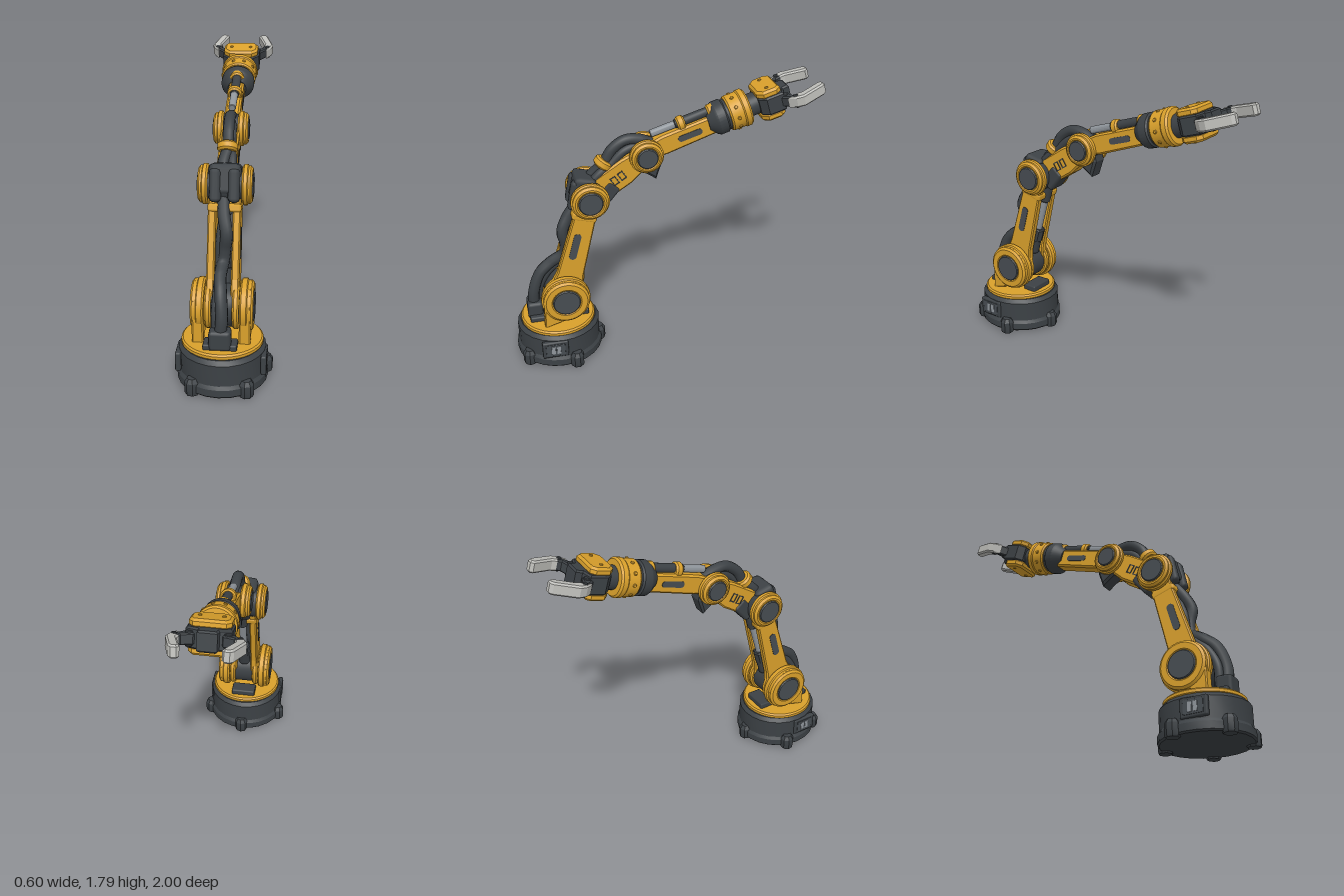
import * as THREE from 'three';
import { toCreasedNormals } from 'three/addons/utils/BufferGeometryUtils.js';
import { RoundedBoxGeometry } from 'three/addons/geometries/RoundedBoxGeometry.js';

const material = (name, color) => Object.assign(new THREE.MeshStandardMaterial({ color }), { name });

export function createModel() {
  const yellow = material('yellow paint', 0xd9a02b);
  const dark = material('dark casing', 0x3c4145);
  const cap = material('cap grey', 0x464c51);
  const steel = material('steel', 0x8f959b);
  const pale = material('pale grip', 0xbcbcb8);
  const root = new THREE.Group();
  root.name = 'roboticArm';

  const add = (parent, name, geo, mat, x = 0, y = 0, z = 0) => {
    const m = new THREE.Mesh(geo, mat);
    m.name = name;
    m.position.set(x, y, z);
    parent.add(m);
    return m;
  };
  const box = (w, h, d, r = 0.01) => new RoundedBoxGeometry(w, h, d, 1, r);
  const lathe = (pts, seg = 32) => toCreasedNormals(
    new THREE.LatheGeometry(pts.map(p => new THREE.Vector2(p[0], p[1])), seg), 0.5);
  // Chamfered cylinder along y
  const drum = (r, y0, y1, c = 0.01, seg = 32) =>
    lathe([[0, y0], [r - c, y0], [r, y0 + c], [r, y1 - c], [r - c, y1], [0, y1]], seg);
  // Chamfered extrusion of a shape, from d0 to d1 along z
  const slab = (shape, d0, d1, b = 0.008) => {
    const g = new THREE.ExtrudeGeometry(shape, {
      depth: d1 - d0 - 2 * b, bevelEnabled: b > 0, bevelThickness: b, bevelSize: b,
      bevelOffset: -b, bevelSegments: 1, curveSegments: 16 });
    return g.translate(0, 0, d0 + b);
  };
  // Side plate: shape drawn as (-z, y), thickness from x0 to x1
  const plate = (shape, x0, x1, b) => slab(shape, x0, x1, b).rotateY(Math.PI / 2);
  const poly = pts => new THREE.Shape(pts.map(p => new THREE.Vector2(p[0], p[1])));
  const slot = (u, v0, v1, r) => {
    const s = new THREE.Shape();
    s.absarc(u, v1, r, 0, Math.PI);
    s.absarc(u, v0, r, Math.PI, Math.PI * 2);
    return s;
  };
  const both = fn => [-1, 1].forEach(fn);
  // Group whose y axis runs from one [y, z] point towards another
  const limb = (name, from, to) => {
    const g = new THREE.Group();
    g.name = name;
    g.position.set(0, from[0], from[1]);
    g.rotation.x = Math.atan2(to[1] - from[1], to[0] - from[0]);
    root.add(g);
    return g;
  };
  const tube = (name, pts, r) => add(root, name, new THREE.TubeGeometry(
    new THREE.CatmullRomCurve3(pts.map(p => new THREE.Vector3(...p))), 40, r, 10), dark);

  const shoulder = [0.452, 0.66], elbow = [1.14, 0.47], upper = [1.38, 0.10], wrist = [1.602, -0.49];

  // Base with feet, ring and side windows
  const base = new THREE.Group();
  base.name = 'base';
  base.position.z = 0.707;
  root.add(base);
  const body = add(base, 'baseBody', lathe([[0, 0.01], [0.275, 0.01], [0.285, 0.02], [0.285, 0.065],
    [0.272, 0.085], [0.272, 0.215], [0.25, 0.24], [0, 0.24]], 24), dark);
  body.scale.x = 0.96;
  add(base, 'turntable', drum(0.245, 0.235, 0.272, 0.01, 40), yellow);
  for (let i = 0; i < 5; i++) {
    const a = (i + 0.5) * Math.PI * 2 / 5;
    const foot = add(base, 'foot', lathe([[0, 0], [0.04, 0], [0.046, 0.012], [0.046, 0.08],
      [0.03, 0.105], [0, 0.105]], 8), dark, Math.sin(a) * 0.268, 0, Math.cos(a) * 0.268);
    foot.rotation.y = a;
  }
  both(s => {
    add(base, 'windowFrame', box(0.035, 0.12, 0.17), dark, s * 0.252, 0.152, 0.055);
    add(base, 'windowRecess', box(0.006, 0.085, 0.125, 0.002), cap, s * 0.269, 0.152, 0.055);
    for (const z of [0.035, 0.07]) add(base, 'windowBar', box(0.006, 0.06, 0.026, 0.002), steel, s * 0.272, 0.152, z);
  });
  add(base, 'cableSocket', box(0.13, 0.12, 0.1, 0.02), dark, 0, 0.33, 0.15);
  add(base, 'socketFoot', box(0.2, 0.04, 0.1), dark, 0, 0.285, 0.14);
  add(base, 'rearBlock', box(0.17, 0.045, 0.1), dark, 0, 0.287, -0.15);

  // Rotary joint made of a dark core with a yellow housing and cap on each side
  const joint = (name, [y, z], core, coreX, r, x0, x1, capR) => {
    const g = new THREE.Group();
    g.name = name;
    g.position.set(0, y, z);
    root.add(g);
    add(g, 'core', drum(core, -coreX, coreX).rotateZ(Math.PI / 2), dark);
    both(s => {
      const t = -s * Math.PI / 2, m = (x0 + x1) / 2;
      add(g, 'housing', lathe([[0, x0], [r - 0.012, x0], [r, x0 + 0.01], [r, m], [r - 0.01, m + 0.006],
        [r - 0.01, x1 - 0.012], [r - 0.025, x1], [capR + 0.008, x1], [capR, x1 - 0.008], [0, x1 - 0.008]])
        .rotateZ(t), yellow);
      add(g, 'cap', drum(capR, x1 - 0.01, x1 + 0.005, 0.006).rotateZ(t), cap);
    });
    return g;
  };
  joint('shoulderJoint', shoulder, 0.125, 0.11, 0.16, 0.105, 0.184, 0.09);
  const elbowJoint = joint('elbowJoint', elbow, 0.105, 0.115, 0.122, 0.1, 0.16, 0.077);
  const upperJoint = joint('upperJoint', upper, 0.09, 0.06, 0.108, 0.045, 0.107, 0.066);

  // Shoulder brackets standing on the turntable
  const bracket = new THREE.Shape();
  bracket.moveTo(-0.58, 0.26);
  bracket.absarc(-shoulder[1], shoulder[0], 0.15, -0.9, 2.9);
  bracket.lineTo(-0.81, 0.26);
  both(s => add(root, 'shoulderBracket', plate(bracket, -0.034, 0.034), yellow, s * 0.138));

  // Lower arm: twin plates with slots
  const lower = limb('lowerArm', shoulder, elbow);
  const armShape = poly([[-0.09, -0.08], [0.09, -0.08], [0.115, 0.03], [0.088, 0.16], [0.072, 0.6], [0.08, 0.7],
    [0.05, 0.76], [-0.05, 0.76], [-0.075, 0.7], [-0.068, 0.6], [-0.085, 0.16], [-0.115, 0.03]]);
  both(s => {
    add(lower, 'armPlate', plate(armShape, -0.024, 0.024), yellow, s * 0.073);
    add(lower, 'armSlot', plate(slot(-0.015, 0.3, 0.44, 0.024), -0.003, 0.003, 0), cap, s * 0.097);
    add(lower, 'shoulderCollar', drum(0.145, -0.02, 0.02).rotateZ(Math.PI / 2), yellow, s * 0.082);
  });
  add(lower, 'elbowCollar', box(0.2, 0.05, 0.16, 0.015), yellow, 0, 0.58, 0);

  // Rear piston
  const piston = limb('rearPiston', [0.54, 0.58], [1.08, 0.42]);
  add(piston, 'pistonRod', drum(0.025, 0.1, 0.5, 0.004, 16), steel);
  add(piston, 'pistonSleeve', drum(0.04, 0, 0.17, 0.008, 16), dark);
  add(piston, 'pistonCollar', drum(0.046, 0.1, 0.2, 0.008, 8), dark);
  add(piston, 'pistonHead', drum(0.036, 0.42, 0.56, 0.008, 16), dark);

  // Elbow casing
  add(elbowJoint, 'elbowFrontCasing', box(0.19, 0.18, 0.14, 0.03), dark, 0, 0.045, 0.03).rotation.x = -0.25;
  both(s => add(elbowJoint, 'elbowLobe', box(0.07, 0.2, 0.09, 0.025), dark, s * 0.055, 0.02, 0.075).rotation.x = -0.2);
  add(elbowJoint, 'elbowRearCasing', box(0.13, 0.16, 0.1, 0.02), dark, 0, 0.0, -0.12).rotation.x = -0.7;

  // Middle arm: solid box with small panels
  const middle = limb('middleArm', elbow, upper);
  add(middle, 'middleBody', plate(poly([[0.1, 0.06], [0.1, 0.27], [0.07, 0.42], [-0.06, 0.42],
    [-0.075, 0.3], [-0.075, 0.06]]), -0.058, 0.058, 0.012), yellow);
  const frame = (u, v, w, h) => {
    const s = poly([[u - w, v - h], [u + w, v - h], [u + w, v + h], [u - w, v + h]]);
    const k = 0.007;
    s.holes.push(poly([[u - w + k, v - h + k], [u - w + k, v + h - k], [u + w - k, v + h - k], [u + w - k, v - h + k]]));
    return s;
  };
  both(s => [0.19, 0.245].forEach(v =>
    add(middle, 'panelOutline', plate(frame(0.015, v, 0.03, 0.02), -0.002, 0.002, 0), dark, s * 0.059)));
  add(upperJoint, 'lowerGuard', plate(poly([[-0.06, -0.05], [0.09, -0.03], [0.1, -0.07], [0.065, -0.175],
    [0.04, -0.155], [-0.03, -0.11]]), -0.055, 0.055, 0.015), dark);

  // Forearm, wrist and hand share one axis with its origin at the wrist
  const fore = limb('forearm', wrist, [wrist[0] + 0.31, wrist[1] - 1]);
  add(fore, 'forearmBody', plate(poly([[-0.045, -0.12], [-0.04, -0.5], [-0.02, -0.62], [0.08, -0.62],
    [0.09, -0.5], [0.075, -0.12]]), -0.048, 0.048, 0.012), yellow);
  both(s => {
    add(fore, 'forearmSlot', plate(slot(0.02, -0.39, -0.27, 0.02), -0.003, 0.003, 0), cap, s * 0.048);
    add(fore, 'forearmPanel', plate(frame(0.01, -0.175, 0.022, 0.022), -0.002, 0.002, 0), dark, s * 0.049);
  });
  // Top actuator with straps
  add(fore, 'actuatorRod', drum(0.024, -0.56, -0.38, 0.004, 16), steel, 0, 0, 0.066);
  add(fore, 'actuatorBody', drum(0.029, -0.4, -0.12, 0.006, 16), dark, 0, 0, 0.066);
  [-0.36, -0.16].forEach(y => add(fore, 'actuatorStrap', drum(0.048, y - 0.025, y + 0.025, 0.01, 16), yellow, 0, 0, 0.058));
  // Wrist rings with bolts
  add(fore, 'wristSeal', lathe([[0, -0.2], [0.06, -0.2], [0.1, -0.155], [0.108, -0.14], [0.108, -0.09],
    [0.098, -0.08], [0.098, -0.05], [0, -0.05]]), dark);
  add(fore, 'wristRing', lathe([[0, -0.065], [0.105, -0.065], [0.113, -0.055], [0.113, 0.02], [0.119, 0.028],
    [0.119, 0.058], [0.108, 0.07], [0.07, 0.07], [0.06, 0.06], [0, 0.06]]), yellow);
  for (let i = 0; i < 10; i++) {
    const a = (i + 0.5) * Math.PI / 5;
    const bolt = add(fore, 'wristBolt', drum(0.012, 0, 0.012, 0.003, 6).rotateX(Math.PI / 2), yellow,
      Math.sin(a) * 0.108, -0.018, Math.cos(a) * 0.108);
    bolt.rotation.y = a;
  }
  add(fore, 'wristNeck', drum(0.072, 0.05, 0.15, 0.01), dark);

  // Hand
  add(fore, 'handCore', slab(poly([[-0.085, 0.13], [0.085, 0.13], [0.125, 0.17], [0.125, 0.28], [0.06, 0.3],
    [0.055, 0.34], [-0.055, 0.34], [-0.06, 0.3], [-0.125, 0.28], [-0.125, 0.17]]), -0.06, 0.06, 0.01), dark);
  const shell = poly([[-0.075, 0.125], [0.075, 0.125], [0.115, 0.16], [0.115, 0.245], [0.09, 0.275],
    [-0.09, 0.275], [-0.115, 0.245], [-0.115, 0.16]]);
  both(s => {
    add(fore, 'handShell', slab(shell, -0.026, 0.026, 0.014), yellow, 0, 0, s * 0.076);
    both(t => add(fore, 'handBolt', drum(0.011, -0.005, 0.005, 0.003, 6).rotateX(Math.PI / 2), yellow,
      t * 0.065, 0.2, s * 0.104));
  });
  // Gripper: knuckles and bent fingers
  both(s => {
    const flip = pts => poly(pts.map(([x, y]) => [s * x, y]));
    add(fore, 'knuckle', slab(flip([[0.06, 0.26], [0.12, 0.255], [0.19, 0.33], [0.185, 0.38], [0.15, 0.38],
      [0.14, 0.33], [0.08, 0.31]]), -0.034, 0.034), dark);
    add(fore, 'knucklePin', drum(0.022, -0.042, 0.042, 0.004, 12).rotateX(Math.PI / 2), dark, s * 0.105, 0.29, 0);
    add(fore, 'finger', slab(flip([[0.165, 0.285], [0.2, 0.33], [0.213, 0.375], [0.168, 0.515], [0.15, 0.532],
      [0.12, 0.53], [0.108, 0.51], [0.15, 0.385], [0.145, 0.355], [0.165, 0.33]]), -0.037, 0.037, 0.01), pale);
    add(fore, 'fingerPin', drum(0.015, -0.042, 0.042, 0.003, 12).rotateX(Math.PI / 2), dark, s * 0.175, 0.335, 0);
  });

  // Cables along the front of the arm
  tube('lowerCable', [[0, 0.34, 0.86], [0.01, 0.46, 0.855], [0, 0.59, 0.805], [-0.01, 0.66, 0.725],
    [0, 0.72, 0.64], [0.01, 0.8, 0.63], [0.02, 0.89, 0.645], [0, 0.99, 0.6], [-0.01, 1.08, 0.53]], 0.037);
  tube('innerCable', [[-0.03, 0.33, 0.82], [-0.03, 0.46, 0.815], [-0.025, 0.57, 0.76], [-0.02, 0.7, 0.64],
    [-0.02, 0.85, 0.61], [0, 1.0, 0.55]], 0.028);
  tube('upperCable', [[-0.02, 1.17, 0.5], [-0.02, 1.26, 0.43], [0, 1.33, 0.36], [0, 1.42, 0.305],
    [0, 1.475, 0.22], [0, 1.47, 0.13], [0, 1.44, 0.06]], 0.034);
  tube('sideCable', [[0.03, 1.18, 0.48], [0.03, 1.27, 0.4], [0.02, 1.33, 0.32], [0.015, 1.41, 0.23], [0, 1.44, 0.12]], 0.028);
  const strap = limb('cableStrap', [1.335, 0.36], [1.42, 0.3]);
  add(strap, 'strapRing', drum(0.062, -0.028, 0.028, 0.012, 20), yellow);
  add(strap, 'strapMount', box(0.09, 0.05, 0.11), yellow, 0, 0, -0.06);
  return root;
}
